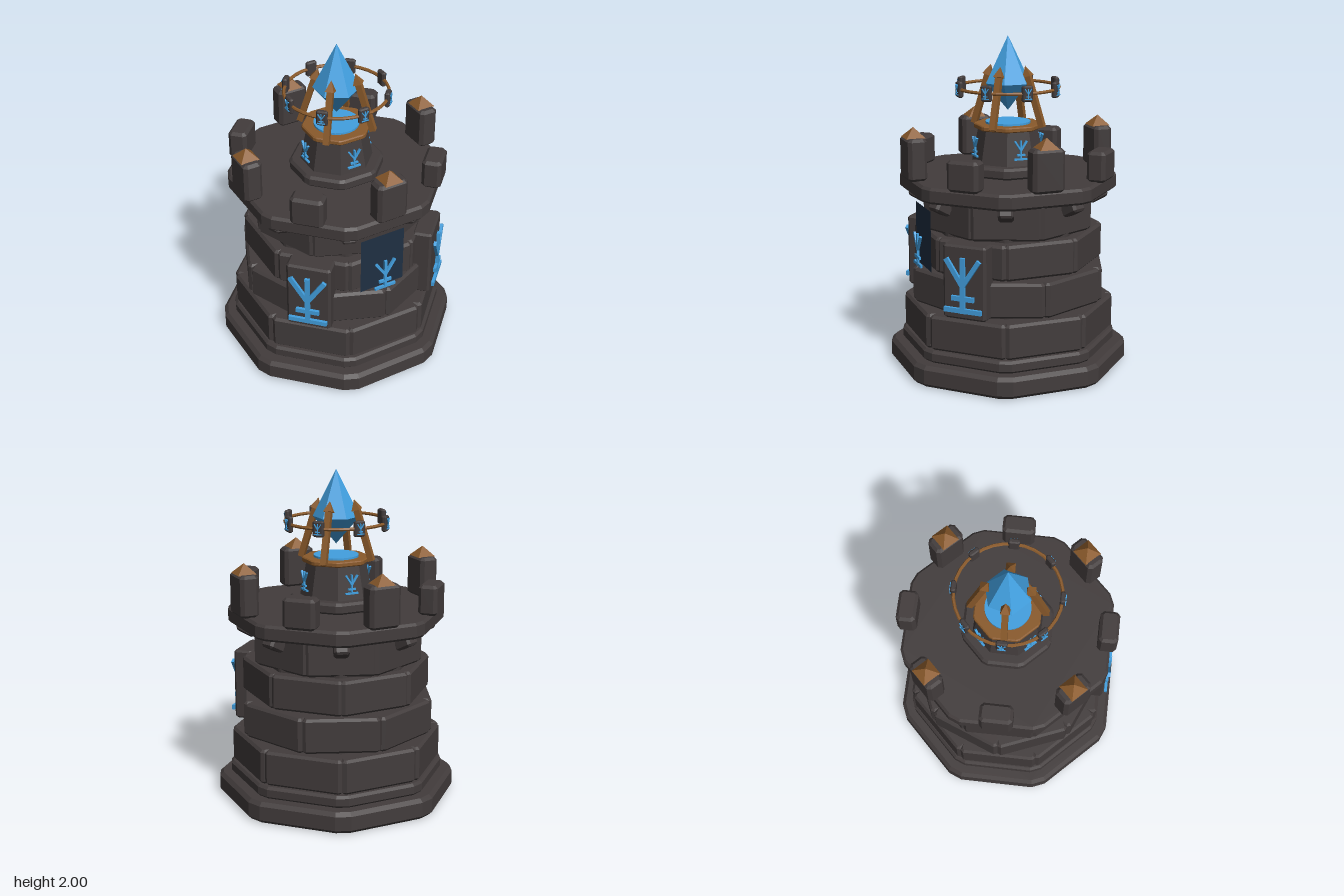
import * as THREE from 'three';

const mat = (name, color) => {
  const m = new THREE.MeshStandardMaterial({ color, flatShading: true });
  m.name = name;
  return m;
};

export function createModel() {
  const stone = mat('dark stone', 0x423c3c);
  const copper = mat('copper', 0x8a5a2b);
  const glow = mat('bright blue', 0x42a0e0);
  const cloth = mat('navy cloth', 0x1f2f42);
  cloth.side = THREE.DoubleSide;

  const model = new THREE.Group();
  model.name = 'crystalTower';
  const add = (parent, name, geo, material, x = 0, y = 0, z = 0) => {
    const mesh = new THREE.Mesh(geo, material);
    mesh.name = name;
    mesh.position.set(x, y, z);
    parent.add(mesh);
    return mesh;
  };
  // Group turned about the tower axis, so its +z points outwards
  const spoke = (name, angle) => {
    const g = new THREE.Group();
    g.name = name;
    g.rotation.y = angle;
    model.add(g);
    return g;
  };

  // Upright prism with all edges chamfered, standing on y = 0
  const prism = (corners, height, bevel, cut) => {
    const pts = [];
    corners.forEach((c, i) => {
      const prev = corners[(i + corners.length - 1) % corners.length];
      const next = corners[(i + 1) % corners.length];
      for (const other of [prev, next]) {
        pts.push(c.clone().add(other.clone().sub(c).setLength(cut)));
      }
    });
    const geo = new THREE.ExtrudeGeometry(new THREE.Shape(pts), {
      depth: height - 2 * bevel, bevelEnabled: true, bevelSegments: 1,
      bevelThickness: bevel, bevelSize: bevel, bevelOffset: -bevel,
    });
    return geo.translate(0, 0, bevel).rotateX(-Math.PI / 2);
  };
  const block = (w, h, d, bevel = 0.015) => prism([
    new THREE.Vector2(-w / 2, -d / 2), new THREE.Vector2(w / 2, -d / 2),
    new THREE.Vector2(w / 2, d / 2), new THREE.Vector2(-w / 2, d / 2),
  ], h, bevel, bevel * 1.2);
  const slab = (apothem, h, bevel, cut) => {
    const r = apothem / Math.cos(Math.PI / 8);
    const corners = [];
    for (let i = 0; i < 8; i++) {
      const a = (i + 0.5) * Math.PI / 4;
      corners.push(new THREE.Vector2(r * Math.cos(a), r * Math.sin(a)));
    }
    return prism(corners, h, bevel, cut);
  };

  // Branching rune made of bars, standing on its foot and facing +z
  const addRune = (parent, name, h, depth, y, z) => {
    const rune = new THREE.Group();
    rune.name = name;
    rune.position.set(0, y, z);
    parent.add(rune);
    const bar = (x0, y0, x1, y1) => {
      const len = Math.hypot(x1 - x0, y1 - y0) * h;
      const m = add(rune, 'runeBar', new THREE.BoxGeometry(len, 0.085 * h, depth), glow,
        (x0 + x1) / 2 * h, (y0 + y1) / 2 * h, 0);
      m.rotation.z = Math.atan2(y1 - y0, x1 - x0);
    };
    bar(0, 0, 0, 0.98);
    bar(0, 0.48, 0.31, 0.95);
    bar(0, 0.48, -0.31, 0.95);
    bar(-0.35, 0.045, 0.35, 0.045);
    bar(-0.21, 0.26, 0.21, 0.26);
  };

  // Plinth, inner core and roof slab
  add(model, 'plinth', slab(0.685, 0.13, 0.022, 0.05), stone);
  add(model, 'plinthStep', slab(0.615, 0.075, 0.015, 0.04), stone, 0, 0.128);
  add(model, 'core', slab(0.46, 0.94, 0.01, 0.01), stone, 0, 0.17);
  add(model, 'roofSlab', slab(0.615, 0.095, 0.015, 0.04), stone, 0, 1.088);

  // Four courses of blocks, alternately staggered and tapering upwards
  const courses = [
    { y: 0.205, r: 0.598, w: 0.48, turn: 0 },
    { y: 0.432, r: 0.565, w: 0.45, turn: 0.5 },
    { y: 0.655, r: 0.53, w: 0.435, turn: 0 },
    { y: 0.872, r: 0.495, w: 0.41, turn: 0.5 },
  ];
  let seed = 7;
  const jitter = () => {
    seed = (seed * 16807) % 2147483647;
    return seed / 2147483647 - 0.5;
  };
  courses.forEach((c, row) => {
    for (let i = 0; i < 8; i++) {
      const g = spoke(`course${row + 1}`, (i + c.turn) * Math.PI / 4);
      const b = add(g, 'wallBlock', block(c.w, 0.21, 0.13), stone, 0, c.y, c.r - 0.065);
      b.rotation.y = jitter() * 0.035;
    }
  });

  // Corbels under the roof slab
  for (let i = 0; i < 8; i++) {
    const g = spoke('corbel', (i + 0.5) * Math.PI / 4);
    add(g, 'corbelBlock', block(0.09, 0.075, 0.12, 0.012), stone, 0, 1.015, 0.555).rotation.x = -0.5;
  }

  // Battlements: tall capped posts on the sides, low ones on the corners
  for (let i = 0; i < 8; i++) {
    const tall = i % 2 === 0;
    const g = spoke(tall ? 'tallMerlon' : 'lowMerlon', i * Math.PI / 4);
    add(g, 'merlonBlock', block(0.195, tall ? 0.25 : 0.18, 0.115, 0.017), stone, 0, 1.18, 0.592);
    if (tall) {
      const cap = new THREE.ConeGeometry(0.058 * Math.SQRT2, 0.062, 4).rotateY(Math.PI / 4);
      add(g, 'merlonCap', cap, copper, 0, 1.459, 0.592);
    }
  }

  // Rune panels on the two front corners
  for (const side of [-1, 1]) {
    const g = spoke('runePanel', side * Math.PI / 4);
    add(g, 'panel', block(0.27, 0.44, 0.12, 0.012), stone, 0, 0.43, 0.565);
    addRune(g, 'panelRune', 0.335, 0.018, 0.475, 0.642);
  }

  // Swallow-tailed banner
  const flag = new THREE.Shape([
    [-0.145, 1.01], [-0.145, 0.43], [0, 0.58], [0.145, 0.43], [0.145, 1.01],
  ].map(([x, y]) => new THREE.Vector2(x, y)));
  add(model, 'banner', new THREE.ShapeGeometry(flag), cloth, 0, 0, 0.54);
  addRune(model, 'bannerRune', 0.2, 0.014, 0.65, 0.577);

  // Pedestal with runes
  const oct = Math.cos(Math.PI / 8);
  add(model, 'pedestalFoot', slab(0.265, 0.07, 0.015, 0.02), stone, 0, 1.18);
  add(model, 'pedestal', new THREE.CylinderGeometry(0.165 / oct, 0.2 / oct, 0.2, 8)
    .rotateY(Math.PI / 8), stone, 0, 1.35);
  add(model, 'collar', slab(0.193, 0.03, 0.006, 0.012), copper, 0, 1.449);
  add(model, 'glowDisc', new THREE.CylinderGeometry(0.135, 0.135, 0.02, 32), glow, 0, 1.481);
  for (let i = 0; i < 4; i++) {
    addRune(spoke('pedestalRunes', i * Math.PI / 2), 'pedestalRune', 0.12, 0.013, 1.288, 0.21);
  }

  // Leaning struts with pointed tips
  for (let i = 0; i < 4; i++) {
    const g = spoke('strut', (i + 0.5) * Math.PI / 2);
    const lean = new THREE.Group();
    lean.name = 'leaningStrut';
    lean.position.set(0, 1.465, 0.222);
    lean.rotation.x = -0.3;
    g.add(lean);
    add(lean, 'strutBar', new THREE.BoxGeometry(0.036, 0.32, 0.036), copper, 0, 0.16);
    add(lean, 'strutTip', new THREE.ConeGeometry(0.038, 0.065, 4).rotateY(Math.PI / 4), copper, 0, 0.345);
  }

  // Floating crystal
  const top = new THREE.ConeGeometry(0.14, 0.28, 6, 1, true);
  const bottom = new THREE.ConeGeometry(0.14, 0.165, 6, 1, true).rotateX(Math.PI);
  add(model, 'crystalTop', top, glow, 0, 1.86);
  add(model, 'crystalBottom', bottom, glow, 0, 1.6375);

  // Halo ring carrying small rune tiles
  add(model, 'halo', new THREE.TorusGeometry(0.305, 0.01, 6, 32).rotateX(Math.PI / 2), copper, 0, 1.694);
  for (let i = 0; i < 8; i++) {
    const g = spoke('haloTile', i * Math.PI / 4);
    add(g, 'tile', block(0.066, 0.092, 0.03, 0.007), stone, 0, 1.648, 0.305);
    addRune(g, 'tileRune', 0.065, 0.008, 1.662, 0.322);
  }

  return model;
}
